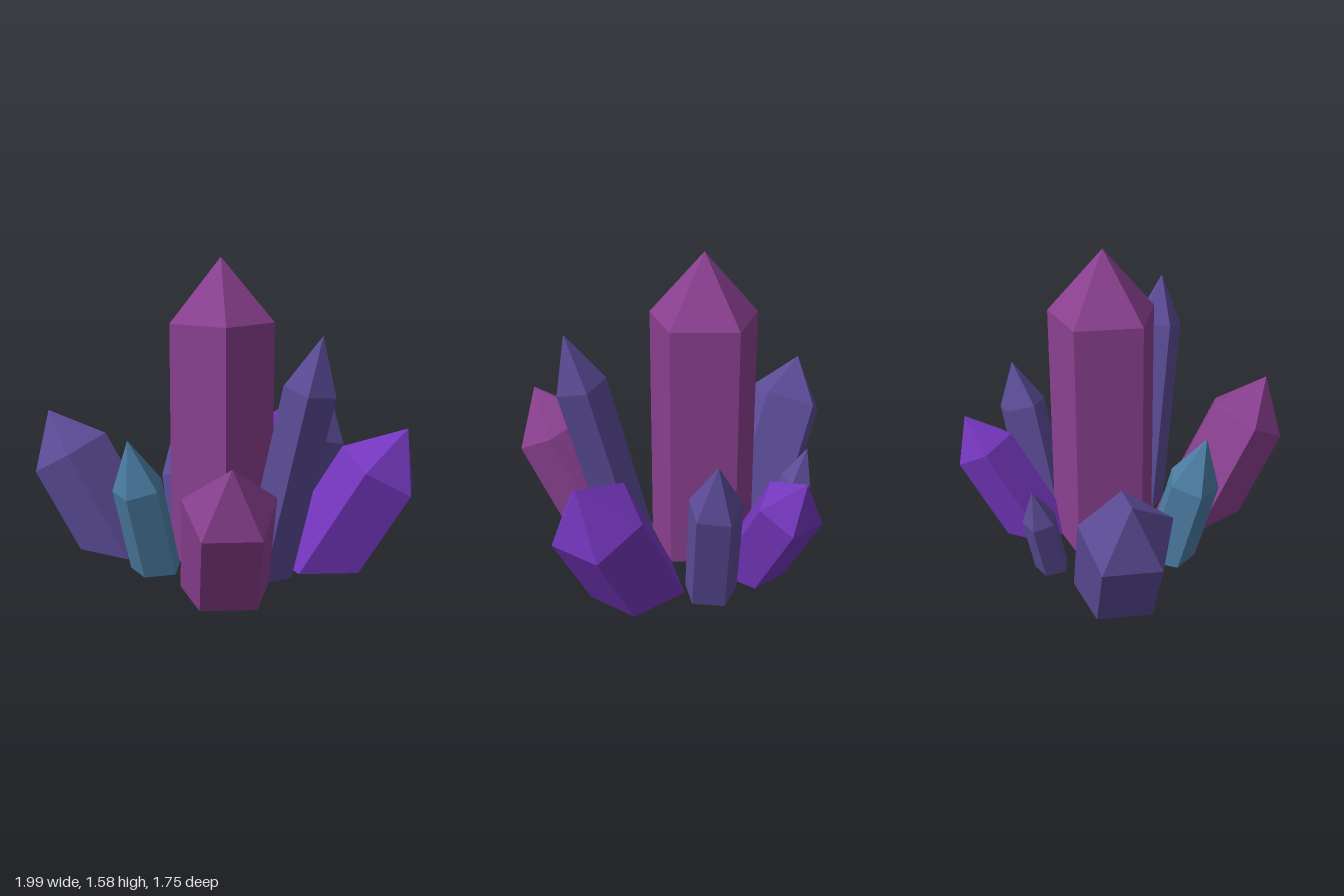
import * as THREE from 'three';

const SIDES = 5;

// Five-sided crystal: a leaning prism cut flat on the ground, with a pointed tip.
// base [x, z], tip [x, y, z], shoulder = share of the axis below the point,
// radius across the axis, turn in degrees about the axis.
function crystal(name, material, base, tip, shoulder, radius, turn) {
  const foot = new THREE.Vector3(base[0], 0, base[1]);
  const point = new THREE.Vector3(...tip);
  const axis = point.clone().sub(foot).normalize();
  const lean = new THREE.Quaternion().setFromUnitVectors(new THREE.Vector3(0, 1, 0), axis);
  const centre = foot.clone().lerp(point, shoulder);

  const top = [], bottom = [];
  for (let i = 0; i < SIDES; i++) {
    const a = THREE.MathUtils.degToRad(turn + (i * 360) / SIDES);
    const v = new THREE.Vector3(Math.cos(a), 0, Math.sin(a))
      .multiplyScalar(radius).applyQuaternion(lean).add(centre);
    top.push(v);
    // slide down along the axis to the ground
    bottom.push(v.clone().addScaledVector(axis, -v.y / axis.y));
  }

  const points = [];
  for (let i = 0; i < SIDES; i++) {
    const j = (i + 1) % SIDES;
    points.push(bottom[i], top[i], bottom[j], top[i], top[j], bottom[j]); // side
    points.push(top[i], point, top[j]); // tip facet
    points.push(foot, bottom[i], bottom[j]); // underside
  }
  const geometry = new THREE.BufferGeometry().setFromPoints(points);
  geometry.computeVertexNormals();
  const mesh = new THREE.Mesh(geometry, material);
  mesh.name = name;
  return mesh;
}

function makeMaterial(name, color) {
  const material = new THREE.MeshStandardMaterial({ color, flatShading: true });
  material.name = name;
  return material;
}

export function createModel() {
  const plum = makeMaterial('plum', 0x8a4090);
  const indigo = makeMaterial('indigo', 0x5c4c98);
  const violet = makeMaterial('violet', 0x7436bc);
  const teal = makeMaterial('teal', 0x4c7ea4);

  const model = new THREE.Group();
  model.name = 'crystalCluster';
  model.add(
    // upright centre
    crystal('centreCrystal', plum, [0, -0.12], [0, 1.58, -0.12], 0.794, 0.281, 0),
    // thick leaning crystals
    crystal('rightCrystal', indigo, [-0.539, -0.12], [-0.966, 0.74, -0.12], 0.697, 0.2275, 0),
    crystal('leftCrystal', violet, [0.539, -0.12], [0.966, 0.74, -0.12], 0.697, 0.2275, 180),
    crystal('frontCrystal', plum, [0.142, 0.4], [0.26, 0.74, 0.81], 0.697, 0.2275, 254),
    crystal('backCrystal', violet, [0.092, -0.471], [0.19, 0.65, -0.835], 0.735, 0.167, 105),
    // slender crystals in the gaps
    crystal('frontLeftSpike', indigo, [0.295, 0.12], [0.573, 1.25, 0.275], 0.792, 0.133, 15),
    crystal('frontRightSpike', teal, [-0.27, 0.18], [-0.364, 0.715, 0.338], 0.643, 0.133, 28),
    crystal('backLeftSpike', indigo, [0.375, -0.43], [0.528, 0.8, -0.57], 0.7, 0.133, 6),
    crystal('backRightSpike', indigo, [-0.295, -0.43], [-0.385, 0.5, -0.52], 0.64, 0.087, 61),
  );
  return model;
}
